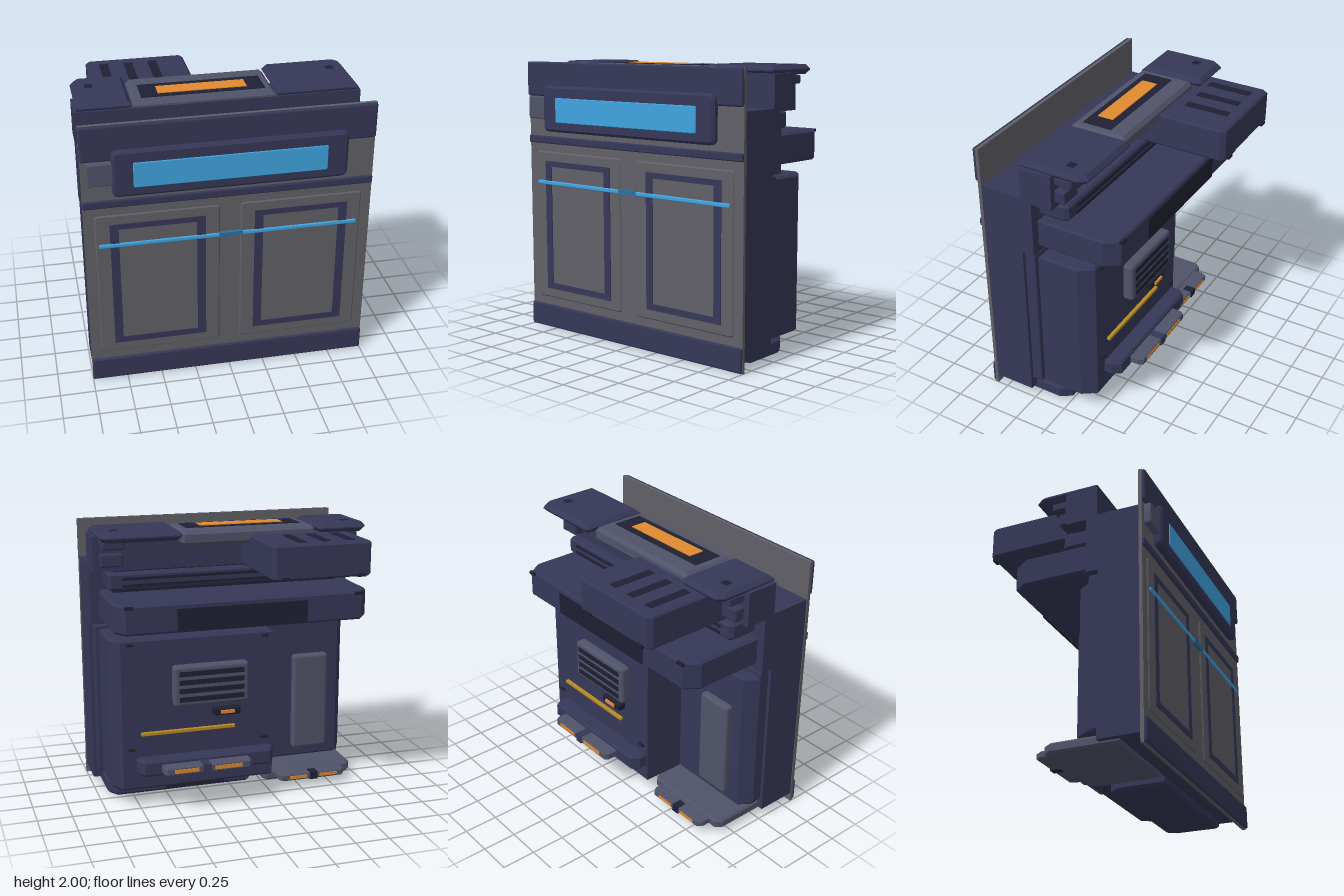
import * as THREE from 'three';
import { RoundedBoxGeometry } from 'three/addons/geometries/RoundedBoxGeometry.js';
import { toCreasedNormals } from 'three/addons/utils/BufferGeometryUtils.js';

const mat = (color) => new THREE.MeshStandardMaterial({ color });
const NAVY = mat(0x363757), GREY = mat(0x606067), STEEL = mat(0x505369), DARK = mat(0x1f2032),
  BLUE = mat(0x40a4e0), ORANGE = mat(0xe08a30), YELLOW = mat(0xb58a22);

export function createModel() {
  const model = new THREE.Group();

  const add = (name, material, geometry, x = 0, y = 0, z = 0) => {
    const mesh = new THREE.Mesh(geometry, material);
    mesh.name = name;
    mesh.position.set(x, y, z);
    model.add(mesh);
    return mesh;
  };

  // Box given by its limits, with an optional softened edge
  const box = (name, material, x0, x1, y0, y1, z0, z1, r = 0) => {
    const w = x1 - x0, h = y1 - y0, d = z1 - z0;
    const geometry = r ? new RoundedBoxGeometry(w, h, d, 2, r) : new THREE.BoxGeometry(w, h, d);
    return add(name, material, geometry, (x0 + x1) / 2, (y0 + y1) / 2, (z0 + z1) / 2);
  };

  const extrude = (shape, length, b) => new THREE.ExtrudeGeometry(shape, {
    depth: length - 2 * b, bevelEnabled: b > 0, bevelThickness: b, bevelSize: b,
    bevelOffset: -b, bevelSegments: 1, curveSegments: 5,
  }).translate(0, 0, b);

  // Upright block whose rear corners are cut off in plan: cl on the -x side, cr on the +x side
  const block = (name, material, x0, x1, y0, y1, z0, z1, cl, cr, b = 0.015) => {
    const pts = [[x0, -z1], [x1, -z1], [x1, -z0 - cr], [x1 - cr * 0.7, -z0], [x0 + cl * 0.7, -z0], [x0, -z0 - cl]]
      .filter((p, i, a) => !i || p[0] !== a[i - 1][0] || p[1] !== a[i - 1][1]);
    const shape = new THREE.Shape(pts.map(([x, y]) => new THREE.Vector2(x, y)));
    const geometry = extrude(shape, y1 - y0, b).rotateX(-Math.PI / 2);
    return add(name, material, toCreasedNormals(geometry, 0.4), 0, y0, 0);
  };

  // Rounded plate facing the front
  const plate = (name, material, x0, x1, y0, y1, z0, z1, r, b) => {
    const s = new THREE.Shape();
    s.moveTo(x0 + r, y0).lineTo(x1 - r, y0).quadraticCurveTo(x1, y0, x1, y0 + r)
      .lineTo(x1, y1 - r).quadraticCurveTo(x1, y1, x1 - r, y1)
      .lineTo(x0 + r, y1).quadraticCurveTo(x0, y1, x0, y1 - r)
      .lineTo(x0, y0 + r).quadraticCurveTo(x0, y0, x0 + r, y0);
    return add(name, material, toCreasedNormals(extrude(s, z1 - z0, b), 0.5), 0, 0, z0);
  };

  // Front sheet and horizontal trims
  box('frontSheet', GREY, -1, 1, 0, 2, 0.58, 0.605);
  box('topTrim', NAVY, -1, 1, 1.75, 2, 0.597, 0.63, 0.015);
  box('middleTrim', NAVY, -1, 1, 1.4, 1.455, 0.597, 0.622, 0.01);
  box('bottomTrim', NAVY, -1, 1, 0.005, 0.175, 0.597, 0.625, 0.012);

  // Display and side button
  plate('displayHousing', NAVY, -0.8, 0.8, 1.495, 1.83, 0.605, 0.668, 0.05, 0.018);
  plate('displayScreen', BLUE, -0.66, 0.655, 1.565, 1.745, 0.655, 0.675, 0.012, 0.004);
  plate('sideButton', STEEL, -0.96, -0.79, 1.585, 1.745, 0.6, 0.655, 0.015, 0.006);

  // Pair of doors with frames
  for (const s of [-1, 1]) {
    const c = s * 0.5;
    plate('doorPanel', GREY, c - 0.428, c + 0.428, 0.235, 1.34, 0.6, 0.616, 0.025, 0.008);
    const frame = new THREE.Shape();
    frame.moveTo(c - 0.328, 0.305).lineTo(c + 0.328, 0.305).lineTo(c + 0.328, 1.27).lineTo(c - 0.328, 1.27);
    const hole = new THREE.Path();
    hole.moveTo(c - 0.268, 0.35).lineTo(c - 0.268, 1.23).lineTo(c + 0.268, 1.23).lineTo(c + 0.268, 0.35);
    frame.holes.push(hole);
    add('doorFrame', NAVY, extrude(frame, 0.01, 0), 0, 0, 0.611);
  }
  box('lightBar', BLUE, -0.905, 0.9, 1.094, 1.124, 0.605, 0.628, 0.008);
  box('lightBarClip', mat(0x2f7099), -0.08, 0.085, 1.091, 1.127, 0.605, 0.63);

  // Cabinet body
  box('body', NAVY, -0.995, 0.995, 0.07, 1.72, 0.28, 0.585);
  box('bodyShoulder', NAVY, -0.995, 0.995, 1.285, 1.72, 0.19, 0.29);
  box('rearSheet', NAVY, -0.97, 0.97, 0.15, 1.27, 0.2, 0.29, 0.01);
  box('upperBlock', NAVY, -0.995, 0.995, 1.7, 1.95, 0.03, 0.27);

  // Top caps, console and its light
  block('topCapRight', NAVY, -0.98, -0.605, 1.935, 2, -0.22, 0.268, 0.06, 0.03, 0.028);
  block('topCapLeft', NAVY, 0.4, 0.98, 1.935, 2, -0.22, 0.268, 0.03, 0.06, 0.028);
  block('topConsole', STEEL, -0.595, 0.39, 1.88, 1.988, -0.16, 0.268, 0.02, 0.02, 0.025);
  box('consoleInset', DARK, -0.53, 0.33, 1.97, 1.992, -0.02, 0.2);
  box('consoleLight', ORANGE, -0.41, 0.21, 1.98, 1.997, 0.035, 0.155);

  // Mirrored cap sockets, clips and corner studs
  for (const s of [-1, 1]) {
    const side = (name, material, x, w, y0, y1, z0, z1, r) =>
      box(name, material, s * x - w / 2, s * x + w / 2, y0, y1, z0, z1, r);
    side('capSocket', DARK, 0.86, 0.055, 1.98, 2.002, -0.078, -0.022);
    side('upperClip', NAVY, 0.87, 0.16, 1.87, 1.93, -0.1, 0.05, 0.012);
    side('lowerClip', NAVY, 0.87, 0.16, 1.74, 1.83, -0.045, 0.05, 0.012);
    side('shelfStud', DARK, 0.84, 0.06, 1.515, 1.535, -0.422, -0.4);
  }

  // Rear ledge with slats
  block('upperLedge', NAVY, -0.9, 0.9, 1.57, 1.69, -0.03, 0.2, 0.03, 0.03);
  for (let i = 0; i < 2; i++) box('ledgeSlat', DARK, -0.8, 0.8, 1.59 + i * 0.05, 1.61 + i * 0.05, -0.038, 0);
  box('ledgeNeck', DARK, -0.85, 0.85, 1.53, 1.71, 0.05, 0.2);

  // Vented rear box
  block('ventBox', NAVY, -0.825, -0.1, 1.7, 1.94, -0.66, 0.04, 0.035, 0.035, 0.012);
  for (const x of [-0.7, -0.52, -0.343]) box('topVent', DARK, x - 0.032, x + 0.032, 1.925, 1.943, -0.57, -0.24);
  for (const x of [-0.74, -0.19]) box('ventBoxStud', DARK, x - 0.03, x + 0.03, 1.7, 1.722, -0.672, -0.65);

  // Wide rear shelf box
  block('rearShelf', NAVY, -0.935, 0.93, 1.33, 1.54, -0.41, 0.2, 0.1, 0.1);
  box('shelfPanel', DARK, -0.45, 0.5, 1.335, 1.5, -0.414, -0.38);

  // Large and small rear housings
  block('largeHousing', NAVY, -0.265, 0.935, 0.13, 1.25, -0.21, 0.2, 0, 0.1);
  block('smallHousing', NAVY, -0.965, -0.265, 0.13, 1.23, 0.11, 0.24, 0.09, 0);
  box('housingPanel', STEEL, -0.81, -0.53, 0.21, 0.96, 0.055, 0.13, 0.025);

  // Rear grille
  box('grille', STEEL, -0.06, 0.5, 0.75, 1.05, -0.285, -0.2, 0.025);
  for (let i = 0; i < 4; i++) {
    const y = 0.805 + i * 0.063;
    box('grilleSlot', DARK, -0.02, 0.46, y - 0.018, y + 0.018, -0.292, -0.27);
  }

  // Rear indicator, strip and studs
  box('indicator', DARK, 0.0, 0.2, 0.655, 0.71, -0.27, -0.2, 0.01);
  box('indicatorLight', ORANGE, 0.05, 0.15, 0.672, 0.695, -0.283, -0.26);
  box('yellowStrip', YELLOW, 0.03, 0.73, 0.54, 0.565, -0.235, -0.2, 0.005);
  for (const x of [-0.2, 0.8]) for (const y of [0.44, 1.215])
    box('housingStud', DARK, x - 0.025, x + 0.025, y - 0.008, y + 0.008, -0.225, -0.2);

  // Rear connector ledge
  block('connectorLedge', NAVY, -0.25, 0.77, 0.265, 0.38, -0.33, -0.2, 0.06, 0.06);
  block('connector', STEEL, -0.04, 0.61, 0.295, 0.35, -0.43, -0.32, 0.03, 0.03, 0.006);
  box('connectorRib', NAVY, 0.27, 0.33, 0.29, 0.355, -0.435, -0.33);
  for (const [x0, x1] of [[0.04, 0.24], [0.36, 0.54]])
    box('connectorLight', ORANGE, x0, x1, 0.31, 0.338, -0.434, -0.4);

  // Base trays
  block('baseTray', NAVY, -0.2, 0.93, 0.01, 0.12, 0, 0.42, 0.08, 0.08, 0.02);
  box('trayRecess', DARK, 0.05, 0.5, 0.03, 0.07, -0.008, 0.05);
  block('sideTray', STEEL, -0.95, -0.23, 0.045, 0.12, -0.12, 0.42, 0.05, 0.05, 0.015);
  block('trayConnector', STEEL, -0.86, -0.33, 0.06, 0.11, -0.22, -0.1, 0.04, 0.04, 0.008);
  for (const x of [-0.72, -0.48]) box('trayLight', ORANGE, x - 0.07, x + 0.07, 0.073, 0.097, -0.224, -0.2);
  box('trayRib', DARK, -0.63, -0.57, 0.057, 0.113, -0.226, -0.15);

  return model;
}
